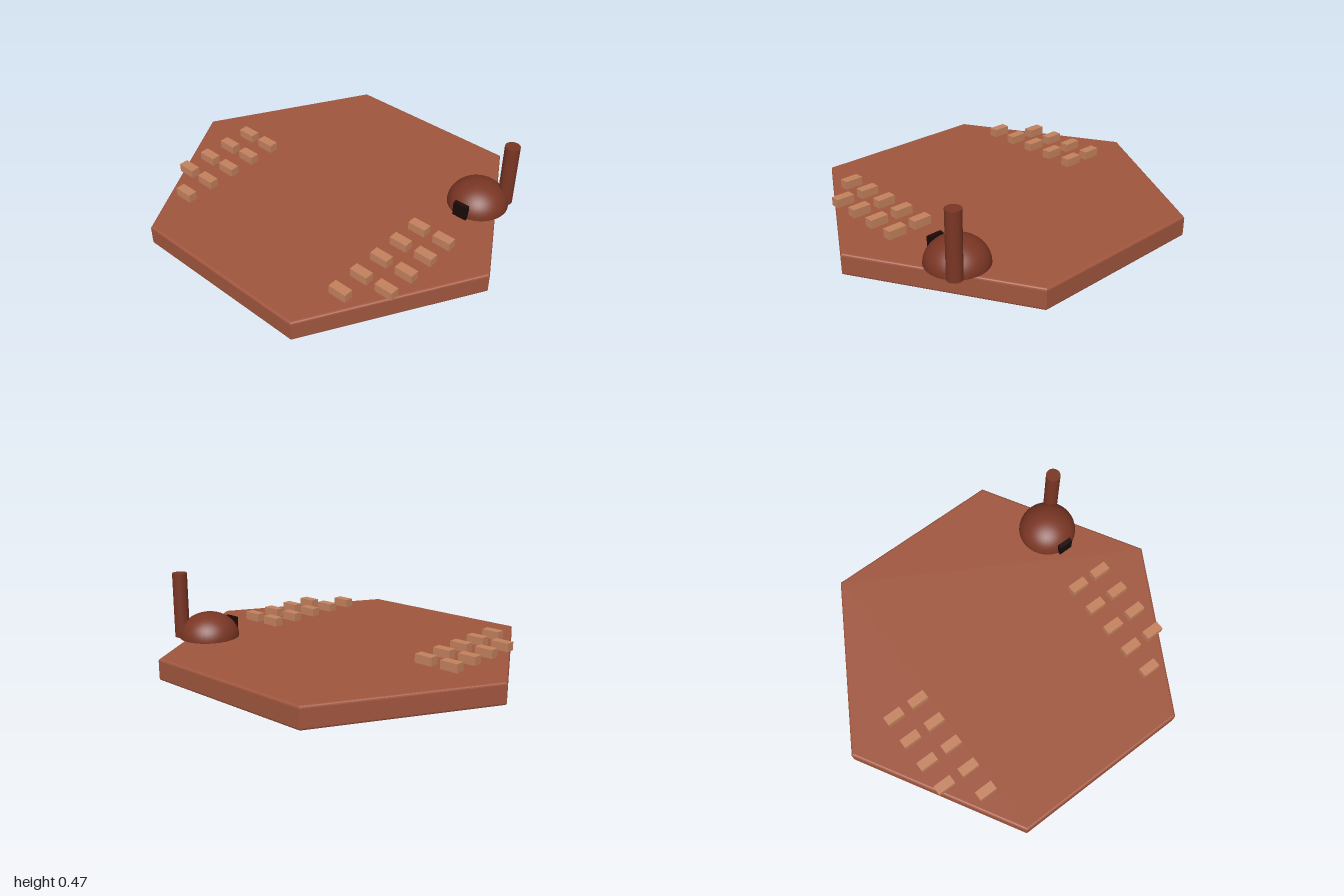
import * as THREE from 'three';

const clay = new THREE.MeshStandardMaterial({ name: 'clay', color: 0xa0563e });
const darkClay = new THREE.MeshStandardMaterial({ name: 'darkClay', color: 0x7a3624 });
const tan = new THREE.MeshStandardMaterial({ name: 'tan', color: 0xc4825e });
const black = new THREE.MeshStandardMaterial({ name: 'black', color: 0x1a0b08 });

const TOP = 0.115; // upper face of the base

function addMesh(parent, name, geometry, material, x, y, z) {
  const mesh = new THREE.Mesh(geometry, material);
  mesh.name = name;
  mesh.position.set(x, y, z);
  parent.add(mesh);
  return mesh;
}

// Hexagonal slab with a small rounded edge and points on the x axis
function hexBase() {
  const bevel = 0.012;
  const radius = 1 - bevel / Math.cos(Math.PI / 6);
  const points = [];
  for (let i = 0; i < 6; i++) {
    const a = (i * Math.PI) / 3;
    points.push(new THREE.Vector2(radius * Math.cos(a), radius * Math.sin(a)));
  }
  const geometry = new THREE.ExtrudeGeometry(new THREE.Shape(points), {
    depth: TOP - 2 * bevel,
    bevelEnabled: true,
    bevelSize: bevel,
    bevelThickness: bevel,
    bevelSegments: 3,
  });
  geometry.translate(0, 0, bevel);
  return geometry.rotateX(-Math.PI / 2);
}

export function createModel() {
  const model = new THREE.Group();
  model.name = 'hexTile';
  addMesh(model, 'base', hexBase(), clay, 0, 0, 0);

  // Two mirrored fields of bricks: five in each inner column, four in each outer
  const brick = new THREE.BoxGeometry(0.102, 0.046, 0.051);
  for (const side of [-1, 1]) {
    const field = new THREE.Group();
    field.name = side > 0 ? 'leftBricks' : 'rightBricks';
    model.add(field);
    [5, 4].forEach((rows, column) => {
      for (let row = 0; row < rows; row++) {
        addMesh(field, 'brick', brick, tan,
          side * (0.55 + 0.153 * column), TOP + 0.023, -0.028 + 0.152 * row);
      }
    });
  }

  // Domed hut with a closed underside
  const hut = new THREE.Group();
  hut.name = 'hut';
  hut.position.set(0.64, TOP, -0.424);
  model.add(hut);
  const dome = addMesh(hut, 'dome',
    new THREE.SphereGeometry(0.162, 40, 16, 0, Math.PI * 2, 0, Math.PI / 2), darkClay, 0, 0, 0);
  dome.scale.y = 0.82;
  const floor = addMesh(hut, 'domeFloor', new THREE.CircleGeometry(0.162, 40), darkClay, 0, 0.001, 0);
  floor.rotation.x = Math.PI / 2;

  // Door and chimney
  addMesh(hut, 'door', new THREE.BoxGeometry(0.082, 0.08, 0.025), black, 0, 0.04, 0.16);
  addMesh(hut, 'chimney', new THREE.CylinderGeometry(0.04, 0.04, 0.355, 24), darkClay, 0.103, 0.1775, -0.105);

  return model;
}
